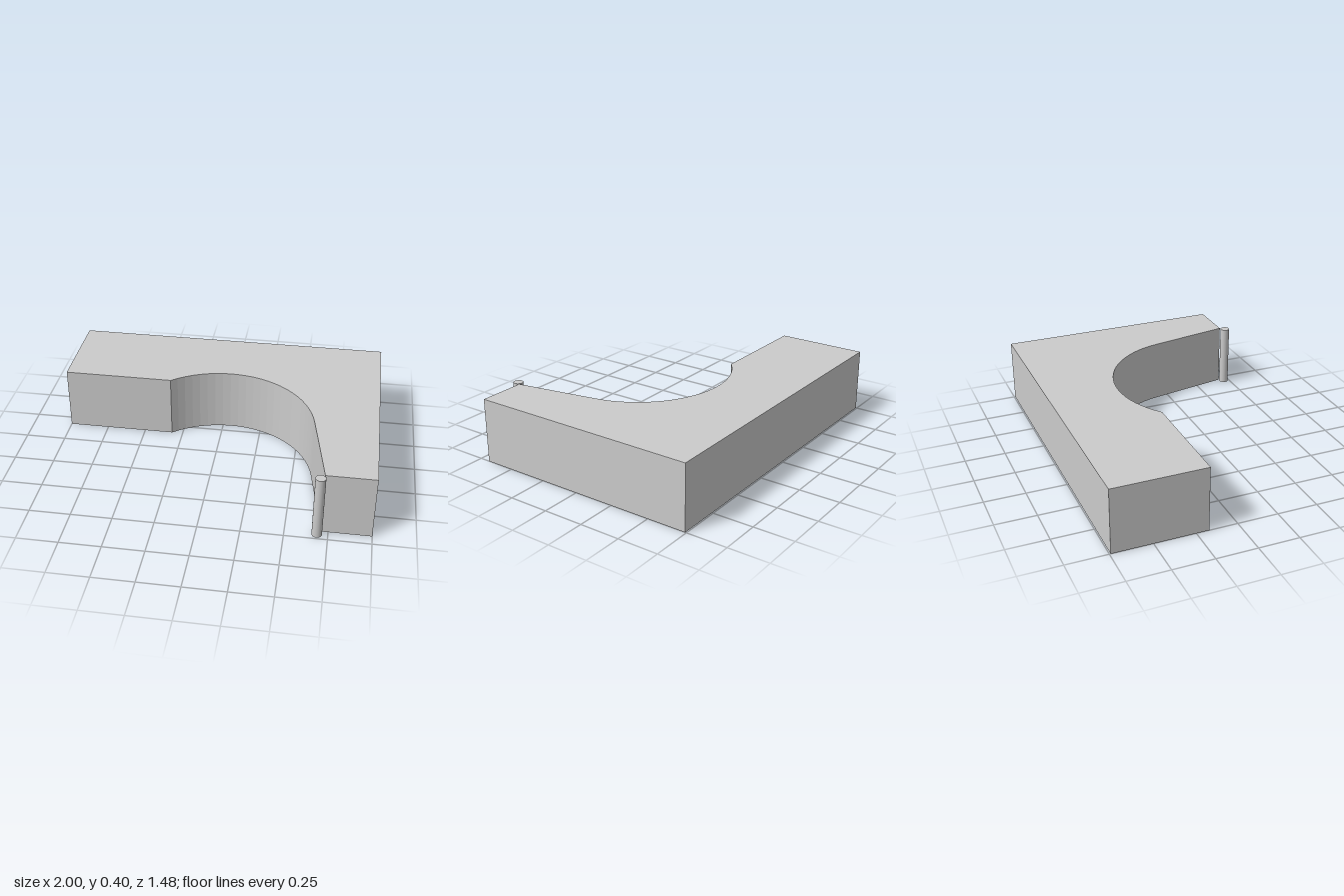
import * as THREE from 'three';

const HEIGHT = 0.4;

export function createModel() {
  const group = new THREE.Group();
  const material = new THREE.MeshStandardMaterial({ color: 0xcccccc });

  // L-shaped plan (shape y = -z) with a round bay cut into its inner corner
  const bay = { x: 0.053, y: -0.262, radius: 0.572 };
  const start = Math.acos((-0.32 - bay.x) / bay.radius);
  const end = THREE.MathUtils.degToRad(10);
  const plan = new THREE.Shape();
  plan.moveTo(-1, 0.743);
  plan.lineTo(-1, 0.173);
  plan.lineTo(-0.32, 0.173);
  plan.absarc(bay.x, bay.y, bay.radius, start, end, true);
  plan.lineTo(0.71, -0.683);
  plan.lineTo(1, -0.683);
  plan.lineTo(1, 0.743);
  plan.closePath();

  const blockGeometry = new THREE.ExtrudeGeometry(plan, {
    depth: HEIGHT, bevelEnabled: false, curveSegments: 12,
  });
  blockGeometry.rotateX(-Math.PI / 2);
  const block = new THREE.Mesh(blockGeometry, material);
  block.name = 'cornerBlock';
  group.add(block);

  // Slim round post at the tip of the short arm
  const post = new THREE.Mesh(new THREE.CylinderGeometry(0.03, 0.03, HEIGHT, 32), material);
  post.name = 'endPost';
  post.position.set(0.687, HEIGHT / 2, 0.711);
  group.add(post);

  return group;
}
